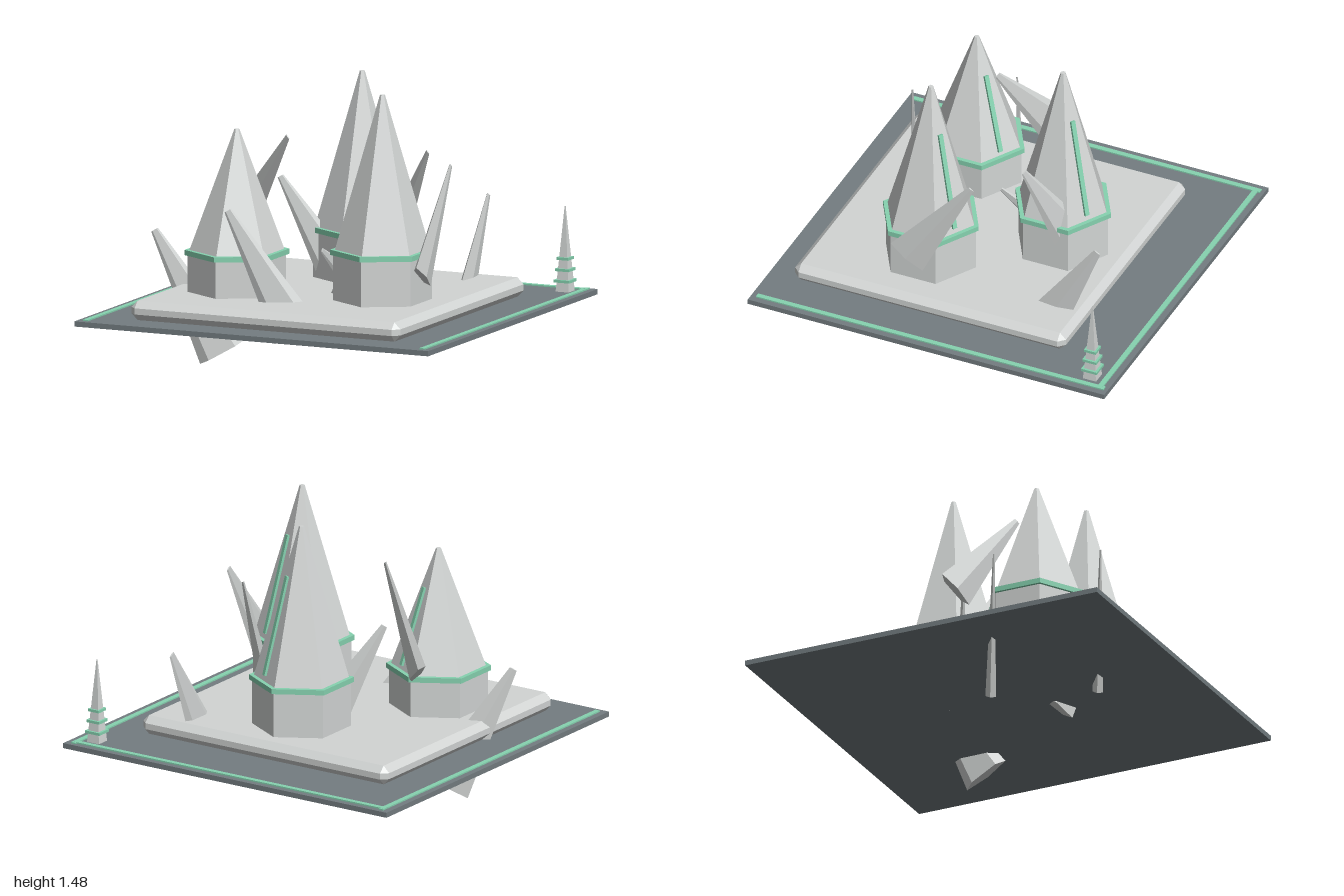
import * as THREE from 'three';
import { ConvexGeometry } from 'three/addons/geometries/ConvexGeometry.js';

const material = (name, color) => {
  const m = new THREE.MeshStandardMaterial({ color, flatShading: true });
  m.name = name;
  return m;
};

export function createModel() {
  const pale = material('paleStone', 0xd2d5d4);
  const slate = material('slate', 0x747d81);
  const green = material('mintTrim', 0x86d2b0);
  const model = new THREE.Group();
  model.name = 'spireCamp';

  const add = (parent, name, geometry, mat, x = 0, y = 0, z = 0) => {
    const mesh = new THREE.Mesh(geometry, mat);
    mesh.name = name;
    mesh.position.set(x, y, z);
    parent.add(mesh);
    return mesh;
  };

  // Ground plate with trim on three edges
  add(model, 'groundPlate', new THREE.BoxGeometry(2, 0.027, 2), slate, 0, 0.3065, 0);
  for (const s of [-1, 1]) {
    add(model, 'sideTrim', new THREE.BoxGeometry(0.028, 0.008, 1.95), green, s * 0.952, 0.323, -0.005);
  }
  add(model, 'backTrim', new THREE.BoxGeometry(1.93, 0.009, 0.028), green, 0, 0.323, -0.954);

  // Raised slab with all edges and corners chamfered
  const half = [0.76, 0.05, 0.76], c = 0.034;
  const corners = [];
  for (const sx of [-1, 1]) for (const sy of [-1, 1]) for (const sz of [-1, 1]) {
    for (let axis = 0; axis < 3; axis++) {
      const p = half.map((h, i) => (i === axis ? h : h - c));
      corners.push(new THREE.Vector3(p[0] * sx, p[1] * sy, p[2] * sz));
    }
  }
  add(model, 'slab', new ConvexGeometry(corners), pale, 0, 0.37, 0.1);

  // Hexagonal towers: body, trim ring, tall roof and a slat on one roof face
  const towers = [
    [0, -0.31, 0.655, 1.485],
    [-0.39, 0.355, 0.61, 1.26],
    [0.385, 0.255, 0.655, 1.48],
  ];
  for (const [x, z, ringY, topY] of towers) {
    const tower = new THREE.Group();
    tower.name = 'tower';
    tower.position.set(x, 0, z);
    model.add(tower);
    const bodyH = ringY - 0.4;
    add(tower, 'towerBody', new THREE.CylinderGeometry(0.252, 0.252, bodyH, 6), pale, 0, 0.4 + bodyH / 2, 0);
    add(tower, 'towerRing', new THREE.CylinderGeometry(0.268, 0.268, 0.027, 6), green, 0, ringY + 0.0135, 0);
    const roofY = ringY + 0.02, roofH = topY - roofY;
    add(tower, 'roof', new THREE.CylinderGeometry(0.013, 0.245, roofH, 6), pale, 0, roofY + roofH / 2, 0);

    const apothem = (f) => 0.866 * (0.245 + (0.013 - 0.245) * f);
    const f1 = 0.045, f2 = 0.68;
    const dy = (f2 - f1) * roofH, dr = apothem(f1) - apothem(f2);
    const side = new THREE.Group();
    side.name = 'roofSlatMount';
    side.rotation.y = THREE.MathUtils.degToRad(150);
    tower.add(side);
    const slat = add(side, 'roofSlat', new THREE.BoxGeometry(0.025, Math.hypot(dy, dr), 0.02), green,
      0, roofY + roofH * (f1 + f2) / 2, (apothem(f1) + apothem(f2)) / 2 + 0.003);
    slat.rotation.x = -Math.atan2(dr, dy);
  }

  // Flat tapering shards, each given by its tip and the centre of its wide end
  const shards = [
    [[-0.2, 1.2, 0.15], [-0.53, 0.716, -0.04]],
    [[-0.86, 0.7, 0.345], [-0.56, 0.06, 0.18]],
    [[-0.29, 0.895, 0.67], [0.016, 0.26, 0.504]],
    [[-0.35, 0.95, -0.075], [-0.09, 0.43, -0.225]],
    [[-0.05, 0.61, 0.06], [-0.05, 0.36, -0.35]],
    [[0.39, 1.1, -0.27], [0.14, 0.59, -0.418]],
    [[0.51, 0.815, -0.735], [0.51, 0.18, -0.38]],
    [[0.369, 0.885, 0.39], [0.105, 0.285, 0.21]],
    [[0.613, 1.08, -0.075], [0.621, 0.56, 0.28]],
  ];
  const up = new THREE.Vector3(0, 1, 0);
  for (const [a, b] of shards) {
    const tip = new THREE.Vector3(...a), foot = new THREE.Vector3(...b);
    const axis = tip.clone().sub(foot);
    const length = axis.length();
    axis.normalize();
    const thin = axis.clone().cross(up).normalize();
    const wide = axis.clone().cross(thin);
    const r = length * 0.18;
    const geometry = new THREE.CylinderGeometry(r * 0.16, r, length, 5);
    geometry.scale(1, 1, 0.22);
    const shard = add(model, 'shard', geometry, pale);
    shard.quaternion.setFromRotationMatrix(new THREE.Matrix4().makeBasis(wide, axis, thin));
    shard.position.copy(tip).add(foot).multiplyScalar(0.5);
  }

  // Small square marker spire with three trim bands
  const marker = new THREE.Group();
  marker.name = 'markerSpire';
  marker.position.set(0.875, 0, -0.877);
  model.add(marker);
  const spire = new THREE.CylinderGeometry(0.003, 0.052, 0.44, 4);
  spire.rotateY(Math.PI / 4);
  add(marker, 'markerBody', spire, pale, 0, 0.54, 0);
  [[0.375, 0.088], [0.433, 0.078], [0.491, 0.066]].forEach(([y, w]) => {
    add(marker, 'markerBand', new THREE.BoxGeometry(w, 0.014, w), green, 0, y, 0);
  });

  return model;
}
